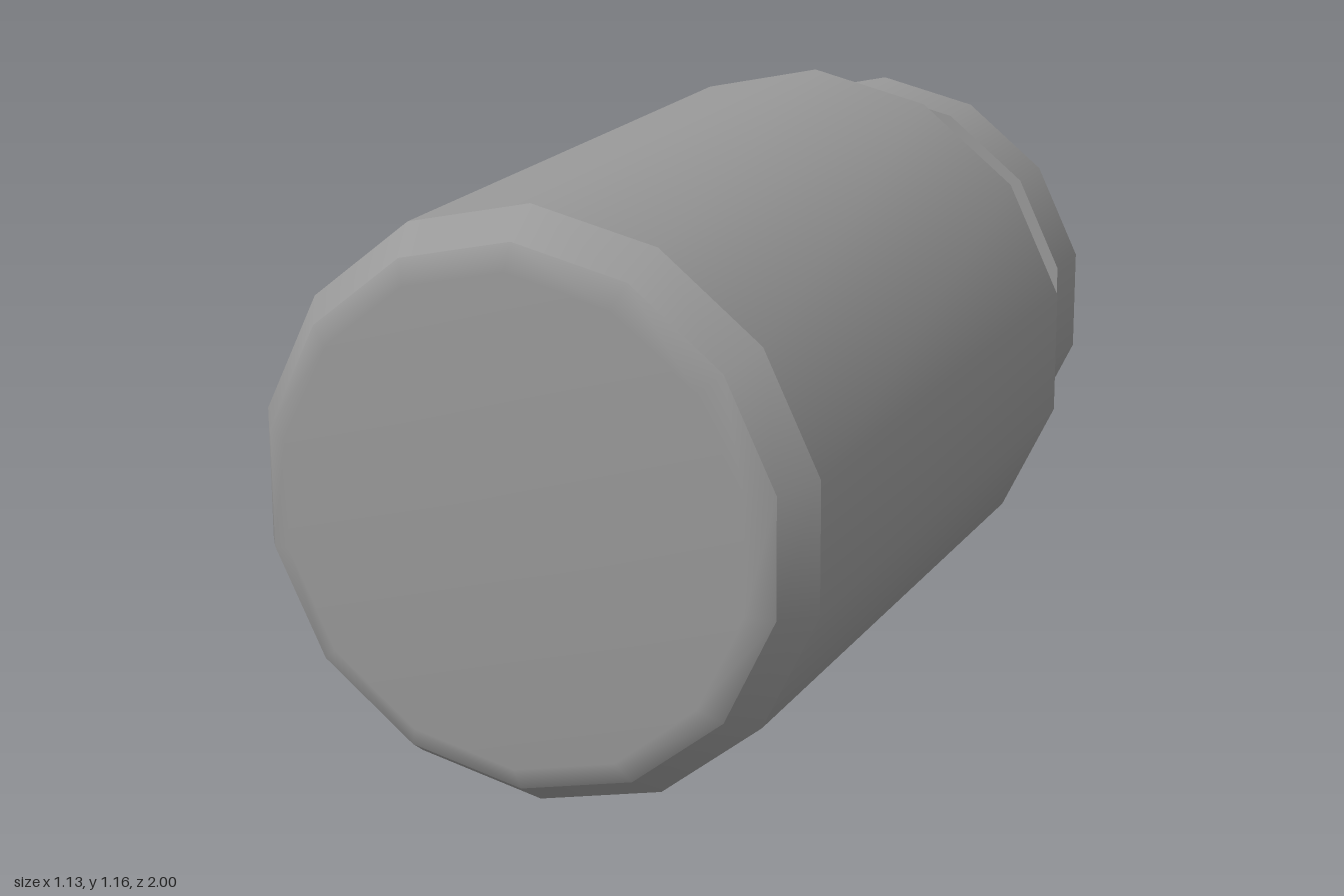
import * as THREE from 'three';

const SIDES = 14;
const RADIUS = 0.578;

export function createModel() {
  const model = new THREE.Group();
  model.name = 'bottle';
  const grey = new THREE.MeshStandardMaterial({ color: 0x999999 });
  grey.name = 'grey';

  // Each band is a smooth profile of [radius, z]; separate bands keep the edges between them sharp.
  const band = (name, profile) => {
    const points = profile.map(([r, z]) => new THREE.Vector2(r, z));
    const geometry = new THREE.LatheGeometry(points, SIDES);
    geometry.rotateX(Math.PI / 2);
    geometry.translate(0, RADIUS, 0);
    const mesh = new THREE.Mesh(geometry, grey);
    mesh.name = name;
    return mesh;
  };
  const part = (name, bands) => {
    const group = new THREE.Group();
    group.name = name;
    for (const [bandName, profile] of bands) group.add(band(bandName, profile));
    model.add(group);
  };

  // Lid at the back end
  part('lid', [
    ['lidFace', [[0, -1], [0.42, -1]]],
    ['lidBevel', [[0.42, -1], [0.483, -0.94]]],
    ['lidRim', [[0.483, -0.94], [0.483, -0.8]]],
    ['lidUnderside', [[0.483, -0.8], [0.42, -0.8]]],
  ]);

  // Narrow neck between lid and body
  part('neck', [['neckWall', [[0.42, -0.8], [0.42, -0.63]]]]);

  // Main body with its stepped shoulder and rounded base
  part('body', [
    ['innerShoulder', [[0.42, -0.63], [0.525, -0.58]]],
    ['outerShoulder', [[0.525, -0.58], [RADIUS, -0.5]]],
    ['bodyWall', [[RADIUS, -0.5], [RADIUS, 0.89]]],
    ['baseBevel', [[RADIUS, 0.89], [0.525, 0.97]]],
    ['base', [[0.525, 0.97], [0.475, 1], [0, 1]]],
  ]);

  return model;
}
